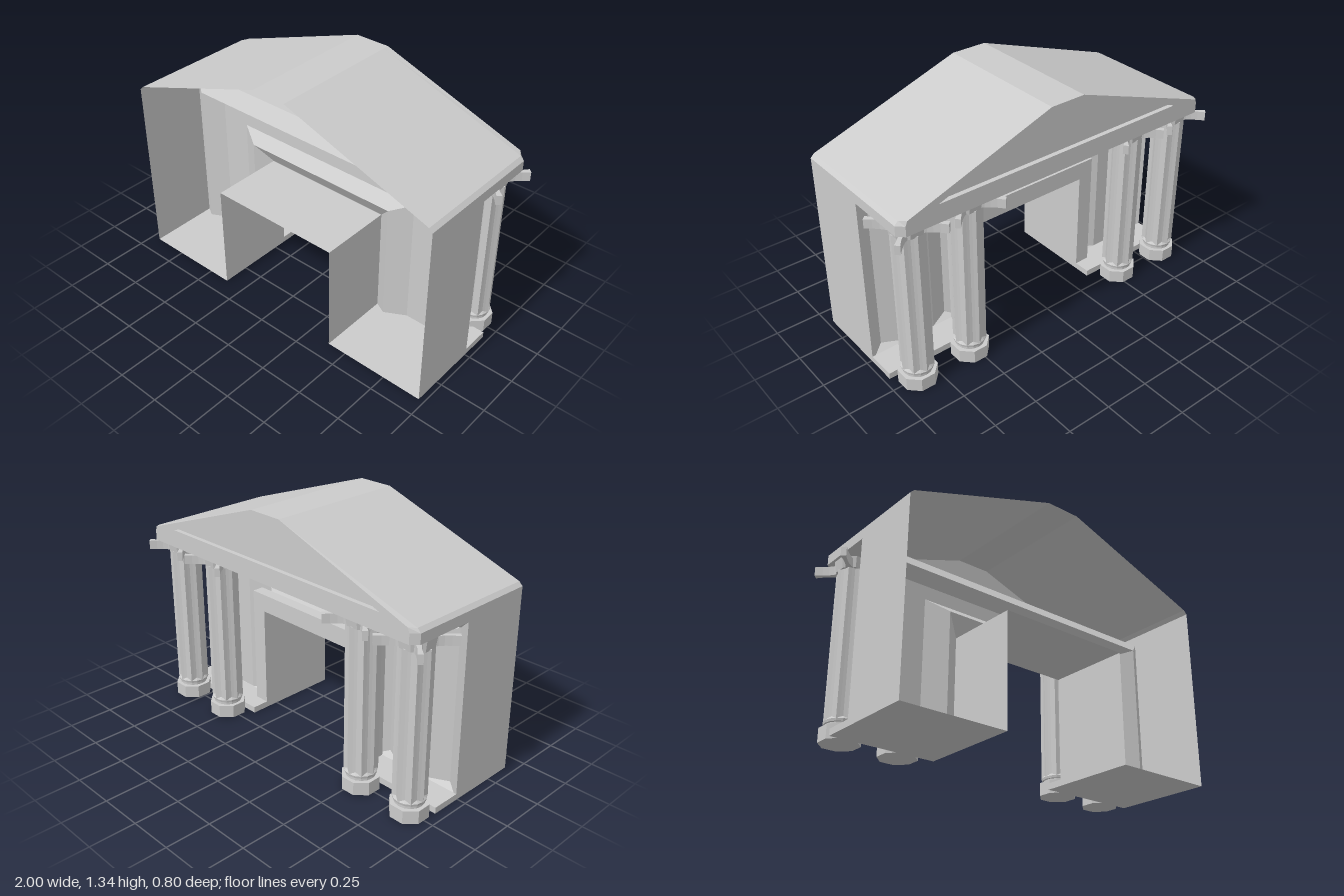
import * as THREE from 'three';

const mat = new THREE.MeshStandardMaterial({ color: 0xcccccc, flatShading: true, side: THREE.DoubleSide });

function add(parent, name, geo, x = 0, y = 0, z = 0) {
  const m = new THREE.Mesh(geo, mat);
  m.name = name;
  m.position.set(x, y, z);
  parent.add(m);
  return m;
}

// Skin between successive loops of [x, y, z]; skip(loop, side) leaves gaps
function loft(loops, closed, skip = () => false) {
  const pos = [];
  for (let i = 0; i < loops.length - 1; i++) {
    const a = loops[i], b = loops[i + 1], n = a.length;
    for (let j = 0; j < (closed ? n : n - 1); j++) {
      if (skip(i, j)) continue;
      const k = (j + 1) % n;
      pos.push(...a[j], ...b[j], ...b[k], ...a[j], ...b[k], ...a[k]);
    }
  }
  const g = new THREE.BufferGeometry();
  g.setAttribute('position', new THREE.Float32BufferAttribute(pos, 3));
  g.computeVertexNormals();
  return g;
}

const polygon = pts => new THREE.Shape(pts.map(p => new THREE.Vector2(p[0], p[1])));
const extrude = (shape, depth) => new THREE.ExtrudeGeometry(shape, { depth, bevelEnabled: false, curveSegments: 6 });

// Outline of a wall with a doorway
function arch(xo, top, xi, door, base, z) {
  return [[-xo, base], [-xo, top], [xo, top], [xo, base], [xi, base], [xi, door], [-xi, door], [-xi, base]]
    .map(p => [...p, z]);
}

// Mirrored gable line from left eave to right eave
function gable(half, z) {
  return [...half.map(([x, y]) => [-x, y, z]), ...[...half].reverse().map(([x, y]) => [x, y, z])];
}

function flutedShape(r, depth, flutes) {
  const pts = [], seg = 4;
  for (let i = 0; i < flutes * seg; i++) {
    const a = (i / (flutes * seg)) * Math.PI * 2;
    const rr = r - depth * Math.sin(((i % seg) / seg) * Math.PI);
    pts.push([Math.cos(a) * rr, Math.sin(a) * rr]);
  }
  return polygon(pts);
}

// Four-pointed slab with concave sides and narrow diagonal tips
function abacusShape() {
  const s = new THREE.Shape(), t = 0.149, w = 0.02, mid = 0.045;
  s.moveTo(t, t - w);
  for (let i = 0; i < 4; i++) {
    const c = Math.round(Math.cos(-i * Math.PI / 2)), n = Math.round(Math.sin(-i * Math.PI / 2));
    const p = (x, y) => [x * c - y * n, x * n + y * c];
    s.quadraticCurveTo(...p(mid, 0.05), ...p(0.07, 0));
    s.quadraticCurveTo(...p(mid, -0.05), ...p(t, -t + w));
    s.lineTo(...p(t - w, -t));
  }
  return s;
}

function makeColumn() {
  const g = new THREE.Group();
  g.name = 'column';
  const base = add(g, 'columnBase', new THREE.CylinderGeometry(0.102, 0.102, 0.073, 8), 0, 0.0365, 0);
  base.rotation.y = Math.PI / 8;
  add(g, 'baseNeck', new THREE.CylinderGeometry(0.077, 0.077, 0.03, 16), 0, 0.08, 0);
  add(g, 'baseRing', new THREE.LatheGeometry(
    [[0.07, 0.085], [0.083, 0.09], [0.086, 0.103], [0.074, 0.118], [0.05, 0.12]]
      .map(p => new THREE.Vector2(...p)), 16));
  add(g, 'shaft', extrude(flutedShape(0.087, 0.013, 8), 0.81), 0, 0.1, 0).rotation.set(-Math.PI / 2, 0, 0);
  add(g, 'capitalCore', new THREE.CylinderGeometry(0.097, 0.087, 0.06, 8), 0, 0.935, 0).rotation.y = Math.PI / 8;
  add(g, 'capitalHorns', extrude(abacusShape(), 0.05), 0, 0.905, 0).rotation.x = -Math.PI / 2;
  add(g, 'capitalBlock', new THREE.BoxGeometry(0.09, 0.012, 0.09), 0, 0.964, 0);
  return g;
}

export function createModel() {
  const model = new THREE.Group();
  model.name = 'templeGate';
  const body = new THREE.Group();
  body.name = 'gatehouse';
  body.position.x = 0.01;
  model.add(body);

  // Walls: outer skin, groove around the edge, then the wall panel; open at the front
  const panel = arch(0.75, 0.84, 0.58, 0.765, 0.035, -0.008);
  add(body, 'walls', loft([
    arch(0.96, 0.97, 0.38, 0.61, 0, 0.4),
    arch(0.96, 0.97, 0.38, 0.61, 0, -0.01),
    arch(0.87, 0.89, 0.467, 0.71, 0.035, 0.054),
    panel,
  ], true, (i, j) => i === 0 && j === 1));
  add(body, 'wallPanel', new THREE.ShapeGeometry(polygon(panel)), 0, 0, -0.008);

  // Raised frame around the doorway
  add(body, 'doorFrame', extrude(polygon(arch(0.467, 0.71, 0.38, 0.61, 0.03, 0)), 0.065), 0, 0, -0.075);

  // Floor slabs under the columns
  for (const s of [-1, 1]) {
    add(body, 'porchFloor', new THREE.BoxGeometry(0.58, 0.035, 0.16), s * 0.67, 0.0175, -0.09);
  }

  // Roof shell with clipped corners on the pediment side
  const eave = [[0.96, 0.97], [0.96, 1.025], [0.94, 1.045], [0.1, 1.335]];
  const clipped = [[0.925, 0.97], [0.925, 1.025], [0.915, 1.05], [0.1, 1.335]];
  add(body, 'roof', loft([gable(eave, 0.4), gable(eave, -0.345), gable(clipped, -0.38)], false));

  // Pediment face with a sunken panel
  const recess = [[0.75, 1.068], [0.085, 1.308]];
  const face = polygon(gable(clipped, 0));
  face.holes.push(new THREE.Path(gable(recess, 0).map(p => new THREE.Vector2(p[0], p[1]))));
  add(body, 'pediment', new THREE.ShapeGeometry(face), 0, 0, -0.38);
  add(body, 'pedimentRecess', loft([gable(recess, -0.38), gable(recess, -0.355)], true));
  add(body, 'pedimentPanel', new THREE.ShapeGeometry(polygon(gable(recess, 0))), 0, 0, -0.355);

  // Porch ceiling
  const soffit = polygon([[-0.96, 0.01], [0.96, 0.01], [0.96, 0.345], [0.925, 0.38], [-0.925, 0.38], [-0.96, 0.345]]);
  add(body, 'porchCeiling', new THREE.ShapeGeometry(soffit), 0, 0.97, 0).rotation.x = -Math.PI / 2;

  // Paired columns
  for (const x of [-0.851, -0.528, 0.528, 0.851]) {
    const c = makeColumn();
    c.position.set(x, 0, -0.25);
    model.add(c);
  }
  return model;
}
